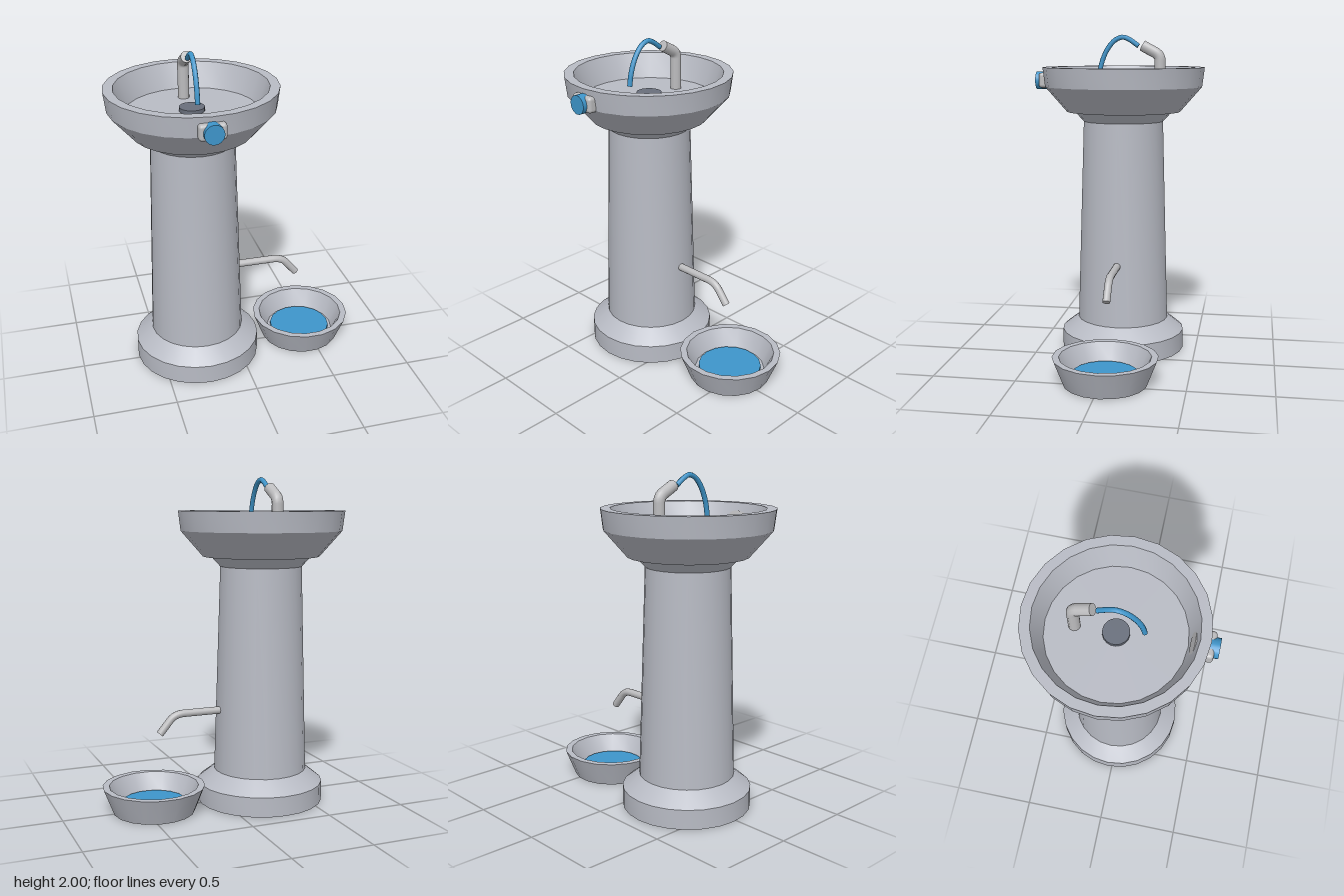
import * as THREE from 'three';
import { toCreasedNormals } from 'three/addons/utils/BufferGeometryUtils.js';
import { RoundedBoxGeometry } from 'three/addons/geometries/RoundedBoxGeometry.js';

const mat = (name, color) => {
  const m = new THREE.MeshStandardMaterial({ color });
  m.name = name;
  return m;
};

export function createModel() {
  const stone = mat('stone grey', 0xb8bbc4);
  const metal = mat('brushed metal', 0xbcbcbe);
  const blue = mat('water blue', 0x3e95ca);
  const dark = mat('drain grey', 0x696f7c);

  const model = new THREE.Group();
  model.name = 'drinkingFountain';
  const CX = -0.255, CZ = -0.025; // pedestal axis
  const BX = 0.445; // pet bowl axis

  const add = (name, geometry, material, x = 0, y = 0, z = 0, parent = model) => {
    const mesh = new THREE.Mesh(geometry, material);
    mesh.name = name;
    mesh.position.set(x, y, z);
    parent.add(mesh);
    return mesh;
  };

  // Turned part with crisp profile edges; points run from bottom centre, up the outside
  const turned = (points, segments) => toCreasedNormals(
    new THREE.LatheGeometry(points.map(([r, y]) => new THREE.Vector2(r, y)), segments, Math.PI / 2), 0.5);

  // Round pipe along a path, closed by a disc at each end
  const pipe = (name, curve, radius, sides, material) => {
    const group = new THREE.Group();
    group.name = name;
    model.add(group);
    add(name + 'Tube', new THREE.TubeGeometry(curve, 28, radius, sides), material, 0, 0, 0, group);
    for (const t of [0, 1]) {
      const p = curve.getPoint(t);
      const cap = add(name + 'Cap', new THREE.CircleGeometry(radius, sides), material, p.x, p.y, p.z, group);
      const dir = curve.getTangent(t).multiplyScalar(t ? 1 : -1);
      cap.quaternion.setFromUnitVectors(new THREE.Vector3(0, 0, 1), dir);
    }
  };

  // Straight run, rounded elbow, straight run
  const elbow = (a, b, c, d) => {
    const path = new THREE.CurvePath();
    path.add(new THREE.LineCurve3(a, b));
    path.add(new THREE.QuadraticBezierCurve3(b, c[0], c[1]));
    path.add(new THREE.LineCurve3(c[1], d));
    return path;
  };
  const v = (x, y, z) => new THREE.Vector3(x, y, z);

  // Pedestal: plinth, tapered column, flared neck
  add('pedestal', turned([
    [0, 0], [0.39, 0], [0.39, 0.12], [0.295, 0.195], [0.288, 0.2],
    [0.25, 1.465], [0.31, 1.53], [0, 1.53],
  ], 24), stone, CX, 0, CZ);

  // Basin with recessed floor
  add('basin', turned([
    [0, 1.525], [0.355, 1.525], [0.49, 1.68], [0.505, 1.8],
    [0.447, 1.8], [0.39, 1.65], [0, 1.65],
  ], 24), stone, CX, 0, CZ);

  add('drain', new THREE.CylinderGeometry(0.075, 0.075, 0.028, 18), dark, CX, 1.66, CZ);

  // Oval overflow plate on the sloping inner wall
  const overflow = add('overflowPlate', new THREE.CylinderGeometry(1, 1, 0.009, 24), metal, CX, 1.722, 0.389);
  overflow.scale.set(0.075, 1, 0.034);
  overflow.rotation.x = -Math.PI / 2 + Math.atan2(0.057, 0.15);

  // Spout and its arc of water
  pipe('spout', elbow(
    v(CX, 1.64, -0.253), v(CX, 1.84, -0.253),
    [v(CX, 1.875, -0.253), v(CX, 1.892, -0.218)], v(CX, 1.932, -0.143)), 0.034, 12, metal);
  pipe('waterArc', new THREE.CatmullRomCurve3([
    v(CX, 1.93, -0.118), v(CX, 1.967, -0.065), v(CX, 1.984, -0.02), v(CX, 1.965, 0.03),
    v(CX, 1.905, 0.08), v(CX, 1.82, 0.115), v(CX, 1.74, 0.13)]), 0.015, 8, blue);

  // Push button on the front
  add('buttonMount', new RoundedBoxGeometry(0.155, 0.094, 0.07, 3, 0.02), metal, CX, 1.718, 0.469);
  add('pushButton', new THREE.CylinderGeometry(0.056, 0.056, 0.06, 20), blue, CX, 1.716, 0.499)
    .rotation.x = Math.PI / 2;

  // Low side spout above the pet bowl
  pipe('sideSpout', elbow(
    v(-0.02, 0.587, CZ), v(0.25, 0.587, CZ),
    [v(0.305, 0.587, CZ), v(0.335, 0.555, CZ)], v(0.404, 0.472, CZ)), 0.023, 12, metal);

  // Pet bowl and water
  add('petBowl', turned([
    [0, 0], [0.247, 0], [0.31, 0.16], [0.27, 0.16], [0.213, 0.045], [0, 0.045],
  ], 18), stone, BX, 0, CZ);
  add('bowlWater', new THREE.CylinderGeometry(0.193, 0.193, 0.02, 18, 1, false, Math.PI / 2), blue, BX, 0.053, CZ);

  return model;
}
